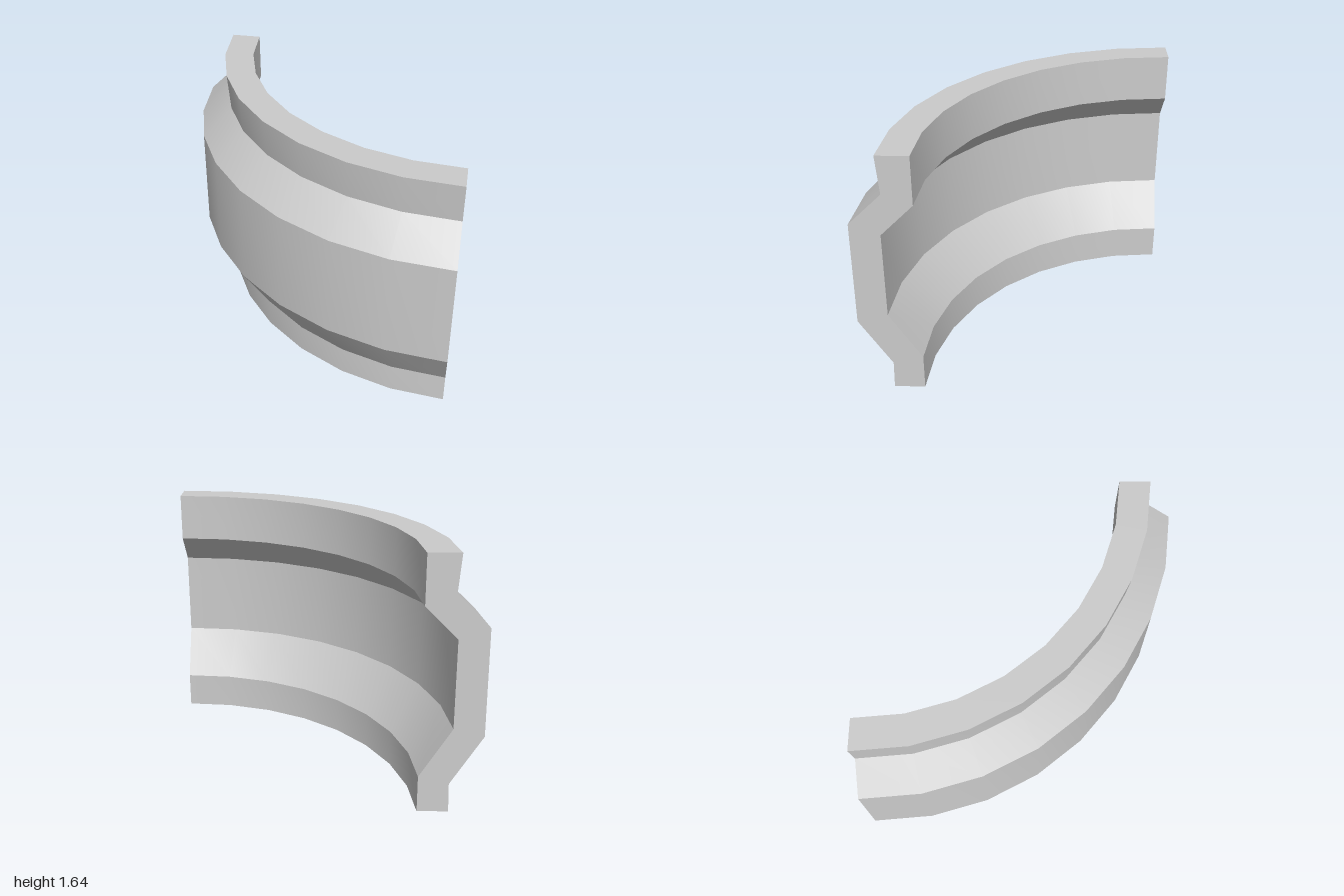
import * as THREE from 'three';
import { toCreasedNormals } from 'three/addons/utils/BufferGeometryUtils.js';

// Wall cross-section as [radius, height]: up the outside, down the inside
const PROFILE = [
  [1.805, 0], [1.8, 0.19], [2, 0.51], [1.995, 1.2], [1.79, 1.4], [1.81, 1.645],
  [1.61, 1.645], [1.61, 1.33], [1.81, 1.13], [1.81, 0.56], [1.61, 0.24], [1.61, 0],
];
const SEGMENTS = 8;

export function createModel() {
  const group = new THREE.Group();
  group.name = 'quarterRing';
  const material = new THREE.MeshStandardMaterial({ color: 0xcccccc });

  const add = (name, geometry) => {
    const mesh = new THREE.Mesh(geometry, material);
    mesh.name = name;
    mesh.position.set(1, 0, -1); // ring axis at the back left corner
    group.add(mesh);
  };

  // Curved wall: a quarter turn, smooth around and sharp along the profile
  const points = [...PROFILE, PROFILE[0]].map(([r, y]) => new THREE.Vector2(r, y));
  const wall = new THREE.LatheGeometry(points, SEGMENTS, -Math.PI / 2, Math.PI / 2);
  add('curvedWall', toCreasedNormals(wall, 0.45));

  // Flat cut faces closing both ends
  const endFace = (side, angle) => {
    const shape = new THREE.Shape(PROFILE.map(([r, y]) => new THREE.Vector2(side * r, y)));
    return new THREE.ShapeGeometry(shape).rotateY(angle);
  };
  add('backEndFace', endFace(1, Math.PI));
  add('leftEndFace', endFace(-1, Math.PI / 2));

  return group;
}
